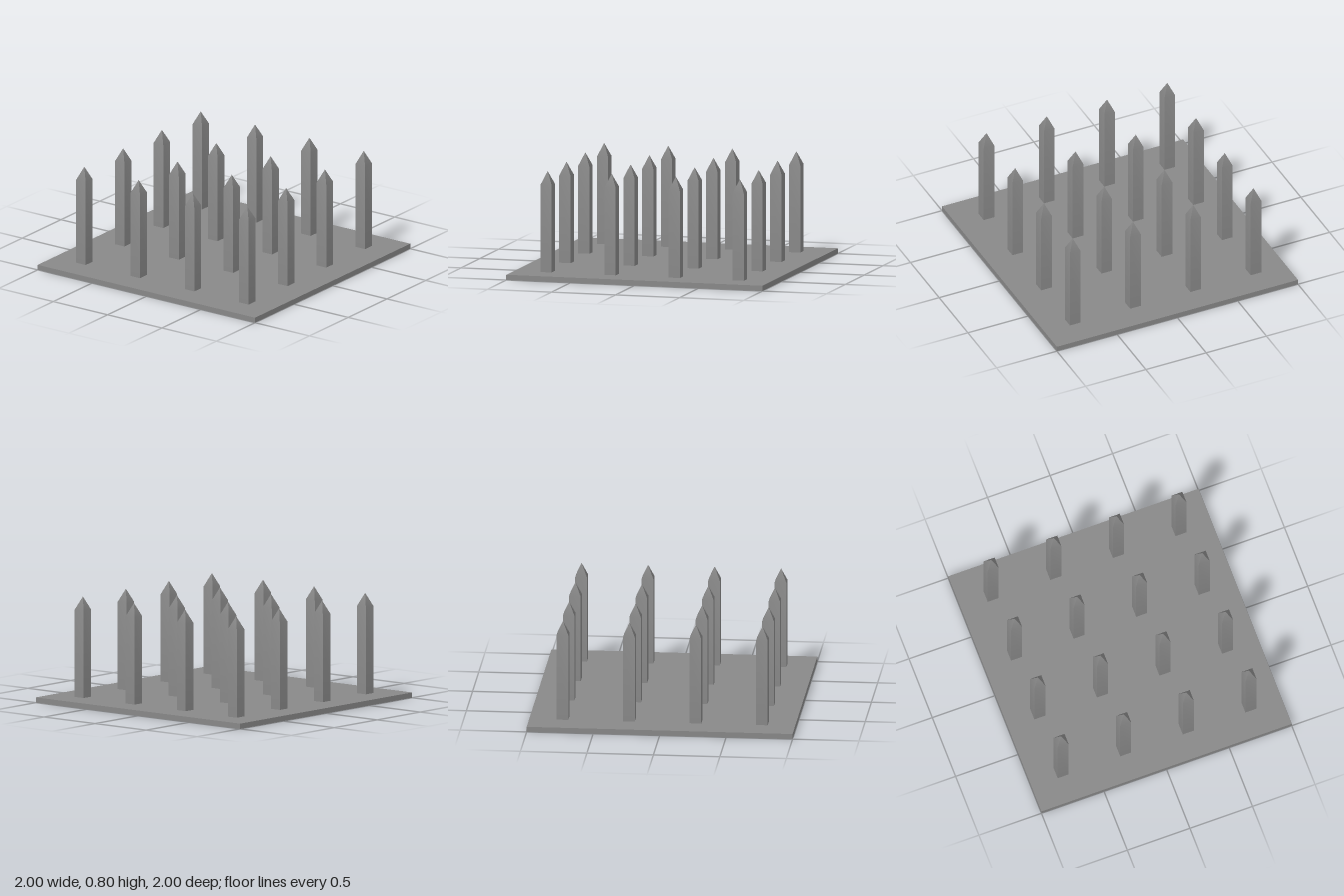
import * as THREE from 'three';
import { toCreasedNormals } from 'three/addons/utils/BufferGeometryUtils.js';

const PLATE = 0.04, WIDTH = 0.088, SHOULDER = 0.7, TIP = 0.8;
const STEPS = [-0.75, -0.25, 0.25, 0.75];

// square outline around a centre
function square(Type, x, y, r) {
  return new Type([[-r, -r], [r, -r], [r, r], [-r, r]]
    .map(([dx, dy]) => new THREE.Vector2(x + dx, y + dy)));
}

// upright four-sided shell from [half width, height] points, with sharp corners
function squareShell(points) {
  const profile = points.map(([w, y]) => new THREE.Vector2(w * Math.SQRT2, y));
  const geometry = new THREE.LatheGeometry(profile, 4).rotateY(Math.PI / 4);
  return toCreasedNormals(geometry, Math.PI / 6);
}

export function createModel() {
  const model = new THREE.Group();
  const material = new THREE.MeshStandardMaterial({ color: 0x888888, side: THREE.DoubleSide });
  const h = WIDTH / 2;

  // top sheet of the base, opened beneath every hollow spike
  const outline = square(THREE.Shape, 0, 0, 1);
  for (const x of STEPS) for (const z of STEPS) outline.holes.push(square(THREE.Path, x, z, h));
  const sheet = new THREE.Mesh(new THREE.ShapeGeometry(outline).rotateX(-Math.PI / 2), material);
  sheet.name = 'baseTop';
  sheet.position.y = PLATE;
  model.add(sheet);

  // thin rim around the base, open underneath
  const rim = new THREE.Mesh(squareShell([[1, 0], [1, PLATE]]), material);
  rim.name = 'baseRim';
  model.add(rim);

  // four by four grid of hollow spikes with pyramid tips
  const spikeGeometry = squareShell([[h, PLATE], [h, SHOULDER], [0, TIP]]);
  const spikes = new THREE.Group();
  spikes.name = 'spikes';
  for (const x of STEPS) for (const z of STEPS) {
    const spike = new THREE.Mesh(spikeGeometry, material);
    spike.name = 'spike';
    spike.position.set(x, 0, z);
    spikes.add(spike);
  }
  model.add(spikes);
  return model;
}
